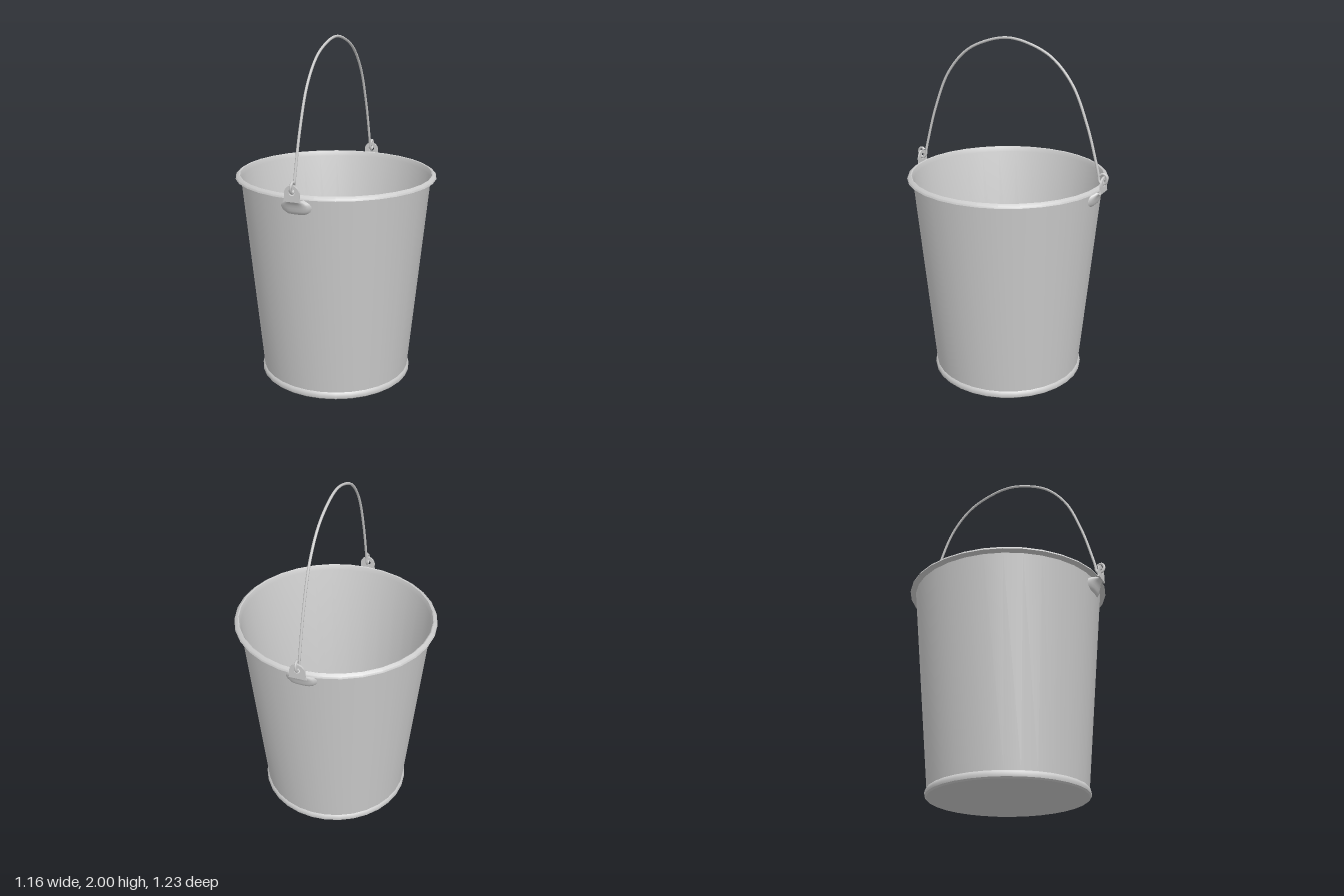
import * as THREE from 'three';
import { toCreasedNormals } from 'three/addons/utils/BufferGeometryUtils.js';

const metal = new THREE.MeshStandardMaterial({ color: 0xcccccc });
const sheet = new THREE.MeshStandardMaterial({ color: 0xcccccc, side: THREE.DoubleSide });
const V2 = (p) => new THREE.Vector2(p[0], p[1]);

function part(name, geometry, material = metal) {
  const mesh = new THREE.Mesh(geometry, material);
  mesh.name = name;
  return mesh;
}

// Outer wall radius at a given height
const wallRadius = (y) => 0.437 + (0.109 * (y - 0.04)) / 1.16;

// Tapered shell: base, foot bead, outer wall, flared rim, inner wall, floor
function makeBucket() {
  const profile = [
    [0, 0], [0.437, 0], [0.446, 0.008], [0.448, 0.02], [0.444, 0.034],
    [0.437, 0.042], [0.546, 1.2], [0.578, 1.208], [0.574, 1.218],
    [0.558, 1.229], [0.552, 1.226], [0.541, 1.2], [0.434, 0.035], [0, 0.035],
  ].map(V2);
  return part('bucketShell', toCreasedNormals(new THREE.LatheGeometry(profile, 32), 0.6));
}

// Wire bail: one arch with a small eye curled at each end
function makeBail() {
  const half = [ // [z, y] from beside the apex down to the tip of the eye
    [0.14, 1.965], [0.27, 1.9], [0.39, 1.765], [0.482, 1.55], [0.535, 1.37],
    [0.555, 1.29], [0.56, 1.258], [0.577, 1.241], [0.597, 1.248],
    [0.606, 1.272], [0.598, 1.294], [0.58, 1.3], [0.564, 1.288],
  ];
  const side = (s) => half.map(([z, y], i) =>
    new THREE.Vector3(i > 8 ? 0.0015 * (i - 8) : 0, y, s * z));
  const path = new THREE.CatmullRomCurve3(
    [...side(-1).reverse(), new THREE.Vector3(0, 1.992, 0), ...side(1)]);
  return part('bailHandle', new THREE.TubeGeometry(path, 220, 0.0075, 8));
}

// Upright tab with the hole the bail hooks through
function makeEarTab() {
  const s = new THREE.Shape();
  s.moveTo(-0.05, 1.195);
  s.lineTo(0.05, 1.195);
  s.quadraticCurveTo(0.042, 1.21, 0.044, 1.232);
  s.bezierCurveTo(0.046, 1.258, 0.028, 1.284, 0, 1.284);
  s.bezierCurveTo(-0.028, 1.284, -0.046, 1.258, -0.044, 1.232);
  s.quadraticCurveTo(-0.042, 1.21, -0.05, 1.195);
  const hole = new THREE.Path();
  hole.absarc(0, 1.247, 0.018, 0, Math.PI * 2, true);
  s.holes.push(hole);
  const g = new THREE.ExtrudeGeometry(s, { depth: 0.01, bevelEnabled: false, curveSegments: 8 });
  g.translate(0, 0, 0.581);
  return part('earTab', toCreasedNormals(g, 0.6));
}

// Flared pad under the rim: rows of [y, half width, stand-off from the wall]
function makeEarPad() {
  const rows = [
    [1.2, 0.046, 0.041], [1.192, 0.056, 0.034], [1.182, 0.074, 0.026],
    [1.168, 0.087, 0.02], [1.152, 0.089, 0.017], [1.136, 0.08, 0.014],
    [1.124, 0.064, 0.01], [1.116, 0.045, 0.002],
  ];
  const cols = 12;
  const g = new THREE.PlaneGeometry(2, 1, cols, rows.length - 1);
  const p = g.attributes.position;
  for (let i = 0; i < p.count; i++) {
    const [y, w, off] = rows[Math.floor(i / (cols + 1))];
    const u = p.getX(i);
    const x = u * w;
    const r = wallRadius(y);
    p.setXYZ(i, x, y, Math.sqrt(r * r - x * x) + off * (1 - u ** 4));
  }
  g.computeVertexNormals();
  return part('earPad', g, sheet);
}

export function createModel() {
  const model = new THREE.Group();
  model.name = 'bucket';
  model.add(makeBucket(), makeBail());

  // One ear at the front, one at the back
  ['frontEar', 'backEar'].forEach((name, i) => {
    const ear = new THREE.Group();
    ear.name = name;
    ear.add(makeEarTab(), makeEarPad());
    ear.rotation.y = i * Math.PI;
    model.add(ear);
  });
  return model;
}
